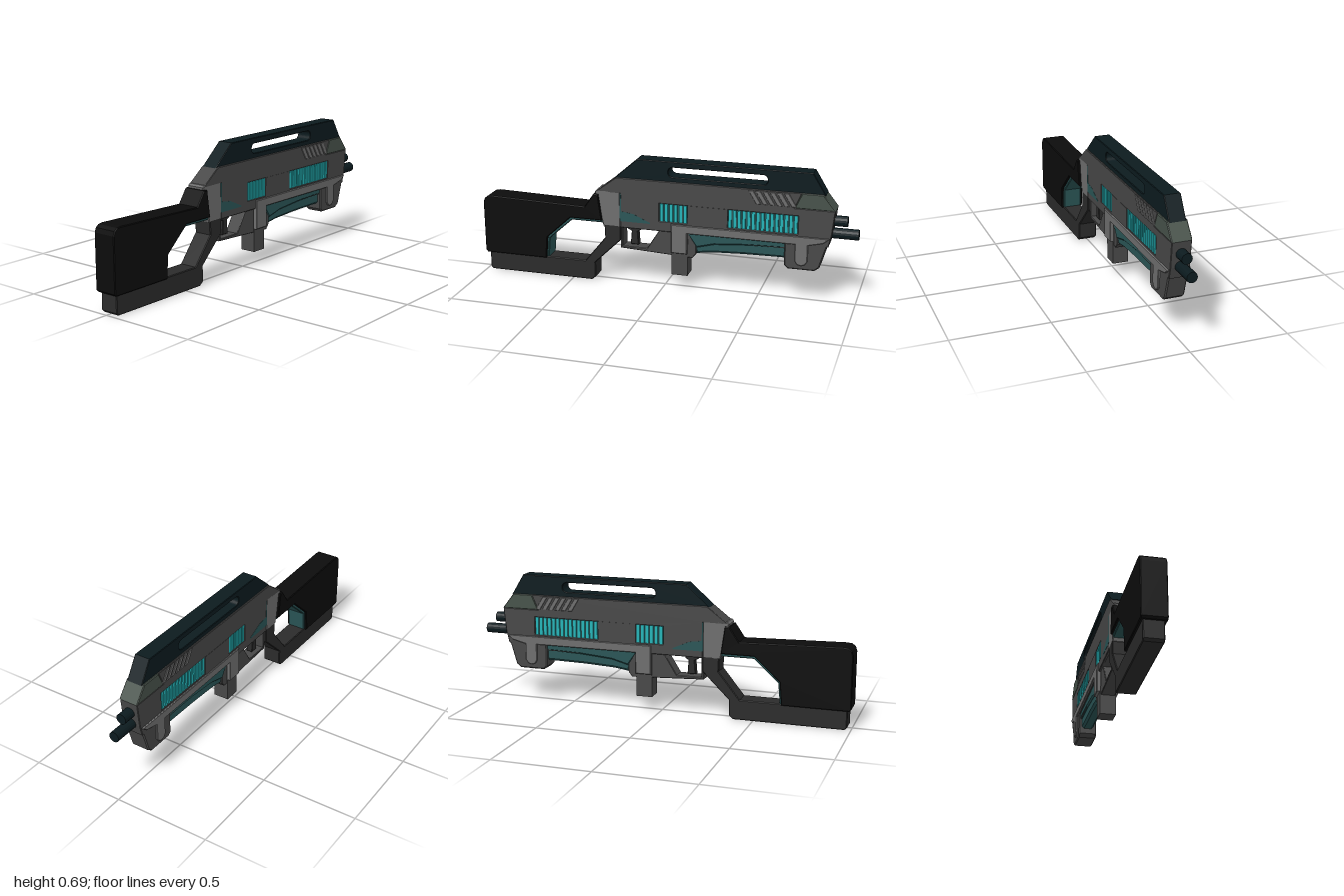
import * as THREE from 'three';

const mat = (color) => new THREE.MeshStandardMaterial({ color, flatShading: true });
const BLACK = mat(0x0c0c0c), DARK = mat(0x2b2b2b), BODY = mat(0x484848), LIGHT = mat(0x6e6e6e);
const RAIL = mat(0x0c1b1f), TEAL = mat(0x2a5556), CYAN = mat(0x24b4b8), CAP = mat(0x47524a);

export function createModel() {
  const group = new THREE.Group();

  const add = (name, geometry, material) => {
    const mesh = new THREE.Mesh(geometry, material);
    mesh.name = name;
    group.add(mesh);
    return mesh;
  };

  // side profile in (z, y), extruded symmetrically across x
  const slab = (name, points, half, material, bevel = 0.004, holes = [], x = 0) => {
    const toVec = (p) => new THREE.Vector2(p[0], p[1]);
    const shape = new THREE.Shape(points.map(toVec));
    for (const h of holes) shape.holes.push(h instanceof THREE.Path ? h : new THREE.Path(h.map(toVec)));
    const depth = 2 * (half - bevel);
    const g = new THREE.ExtrudeGeometry(shape, {
      depth, bevelEnabled: bevel > 0, bevelSize: bevel, bevelThickness: bevel,
      bevelOffset: -bevel, bevelSegments: 1, curveSegments: 8,
    });
    g.translate(0, 0, -depth / 2);
    g.rotateY(-Math.PI / 2);
    g.translate(x, 0, 0);
    return add(name, g, material);
  };
  const box = (name, z0, z1, y0, y1, half, material) => {
    const g = new THREE.BoxGeometry(2 * half, y1 - y0, Math.abs(z1 - z0));
    g.translate(0, (y0 + y1) / 2, (z0 + z1) / 2);
    return add(name, g, material);
  };
  const rect = (z0, z1, y0, y1) => [[z0, y0], [z0, y1], [z1, y1], [z1, y0]];

  // shoulder stock with rounded top corner
  slab('stock', [
    [0.99, 0.1], [1, 0.11], [1, 0.385], [0.992, 0.407], [0.975, 0.42], [0.95, 0.423],
    [0.425, 0.41], [0.375, 0.483], [0.35, 0.483], [0.33, 0.342], [0.505, 0.342],
    [0.638, 0.22], [0.648, 0.1],
  ], 0.0625, BLACK);
  slab('stockLiner', [
    [0.66, 0.105], [0.638, 0.105], [0.628, 0.212], [0.5, 0.327], [0.33, 0.327],
    [0.33, 0.36], [0.51, 0.36], [0.65, 0.23],
  ], 0.05, TEAL);

  // lower stock bar rising into the pistol grip
  slab('lowerStockAndGrip', [
    [0.98, 0.105], [0.98, 0.012], [0.968, 0], [0.395, 0], [0.374, 0.018], [0.374, 0.1],
    [0.23, 0.24], [0.23, 0.32], [0.32, 0.32], [0.317, 0.245], [0.43, 0.105],
  ], 0.05, DARK);

  // receiver with window openings
  const windows = [[0.02, -0.13, 6], [-0.34, -0.7, 15]];
  slab('receiver', [
    [0.232, 0.31], [0.232, 0.495], [0.365, 0.495], [0.265, 0.572], [0.25, 0.58],
    [-0.715, 0.58], [-0.68, 0.5], [-0.883, 0.5], [-0.87, 0.37], [-0.855, 0.31],
  ], 0.05, BODY, 0.003, windows.map(([a, b]) => rect(a, b, 0.365, 0.46)));
  slab('rearReceiver', [[0.37, 0.495], [0.36, 0.505], [0.232, 0.505], [0.232, 0.31], [0.325, 0.31]], 0.05, LIGHT);
  slab('frontCap', [[-0.68, 0.5], [-0.715, 0.58], [-0.822, 0.58], [-0.885, 0.5]], 0.051, CAP);

  // glowing windows with upright slats
  for (const [a, b, n] of windows) {
    box('windowCore', a + 0.005, b - 0.005, 0.36, 0.465, 0.042, TEAL);
    const step = (a - b) / n;
    for (let i = 0; i < n; i++) {
      const z = a - (i + 0.5) * step;
      box('windowSlat', z + step * 0.32, z - step * 0.32, 0.365, 0.46, 0.049, CYAN);
    }
  }

  // side panels and inlays
  box('sidePanel', -0.13, -0.34, 0.35, 0.462, 0.0515, BODY);
  slab('sideInlay', [[0.232, 0.345], [0.232, 0.4], [0.16, 0.39], [0.07, 0.35], [0.07, 0.345]], 0.0508, TEAL, 0);
  box('sideInlayEdge', 0.234, 0.227, 0.345, 0.495, 0.0508, TEAL);

  // slanted louvres on the upper flanks
  for (let i = 0; i < 6; i++) {
    const z = -0.445 - i * 0.036;
    slab('louvre', [[z, 0.573], [z - 0.025, 0.573], [z - 0.066, 0.505], [z - 0.041, 0.505]], 0.0535, LIGHT, 0.002);
  }

  // top carry rail with a slotted opening
  const slot = new THREE.Path();
  slot.moveTo(-0.05, 0.604);
  slot.absarc(-0.515, 0.6295, 0.0255, -Math.PI / 2, -Math.PI * 1.5, true);
  slot.absarc(-0.05, 0.6295, 0.0255, Math.PI / 2, -Math.PI / 2, true);
  slab('topRail', [[0.265, 0.575], [0.14, 0.685], [-0.765, 0.685], [-0.832, 0.575]], 0.042, RAIL, 0.003, [slot]);

  // trigger housing, guard and trigger
  slab('triggerHousing', [
    [0.235, 0.32], [0.235, 0.193], [-0.155, 0.175], [-0.175, 0.2], [-0.175, 0.32],
  ], 0.038, BODY, 0.003, [[[0.222, 0.308], [0.025, 0.308], [0.09, 0.204], [0.222, 0.204]]]);
  slab('trigger', [[0.2, 0.315], [0.13, 0.315], [0.13, 0.295], [0.147, 0.285], [0.142, 0.212], [0.186, 0.212], [0.18, 0.285], [0.2, 0.295]], 0.018, DARK, 0.003);

  // magazine
  box('magazine', -0.045, -0.13, 0.075, 0.33, 0.042, BODY);

  // fore-end: curved underside grip and front block
  slab('foreGrip', [
    [-0.13, 0.32], [-0.175, 0.2], [-0.26, 0.212], [-0.42, 0.22], [-0.65, 0.224], [-0.66, 0.275],
    [-0.66, 0.32],
  ], 0.032, TEAL, 0.012);
  slab('foreGripShoulder', [[-0.12, 0.32], [-0.175, 0.235], [-0.27, 0.26], [-0.45, 0.275], [-0.65, 0.28], [-0.65, 0.32]], 0.042, TEAL, 0.008);
  box('underBody', -0.1, -0.7, 0.28, 0.32, 0.04, BODY);
  slab('frontBlock', [
    [-0.635, 0.32], [-0.635, 0.195], [-0.655, 0.176], [-0.79, 0.176], [-0.815, 0.195], [-0.862, 0.355], [-0.66, 0.355],
  ], 0.05, BODY, 0.006);

  // raised frame strip with tabs running down both flanks
  for (const side of [-1, 1]) {
    slab('sideFrame', [
      [-0.045, 0.355], [-0.045, 0.2], [-0.13, 0.2], [-0.13, 0.312], [-0.69, 0.312],
      [-0.69, 0.225], [-0.702, 0.206], [-0.722, 0.2], [-0.742, 0.206], [-0.755, 0.225],
      [-0.755, 0.312], [-0.83, 0.33], [-0.86, 0.355],
    ], 0.01, LIGHT, 0.003, [], side * 0.049);
  }

  // two stacked barrels
  for (const [y, z0, z1] of [[0.438, -0.8, -0.942], [0.373, -0.78, -1]]) {
    const g = new THREE.CylinderGeometry(0.027, 0.027, z0 - z1, 16);
    g.rotateX(Math.PI / 2);
    g.translate(0, y, (z0 + z1) / 2);
    add('barrel', g, RAIL);
  }

  return group;
}
